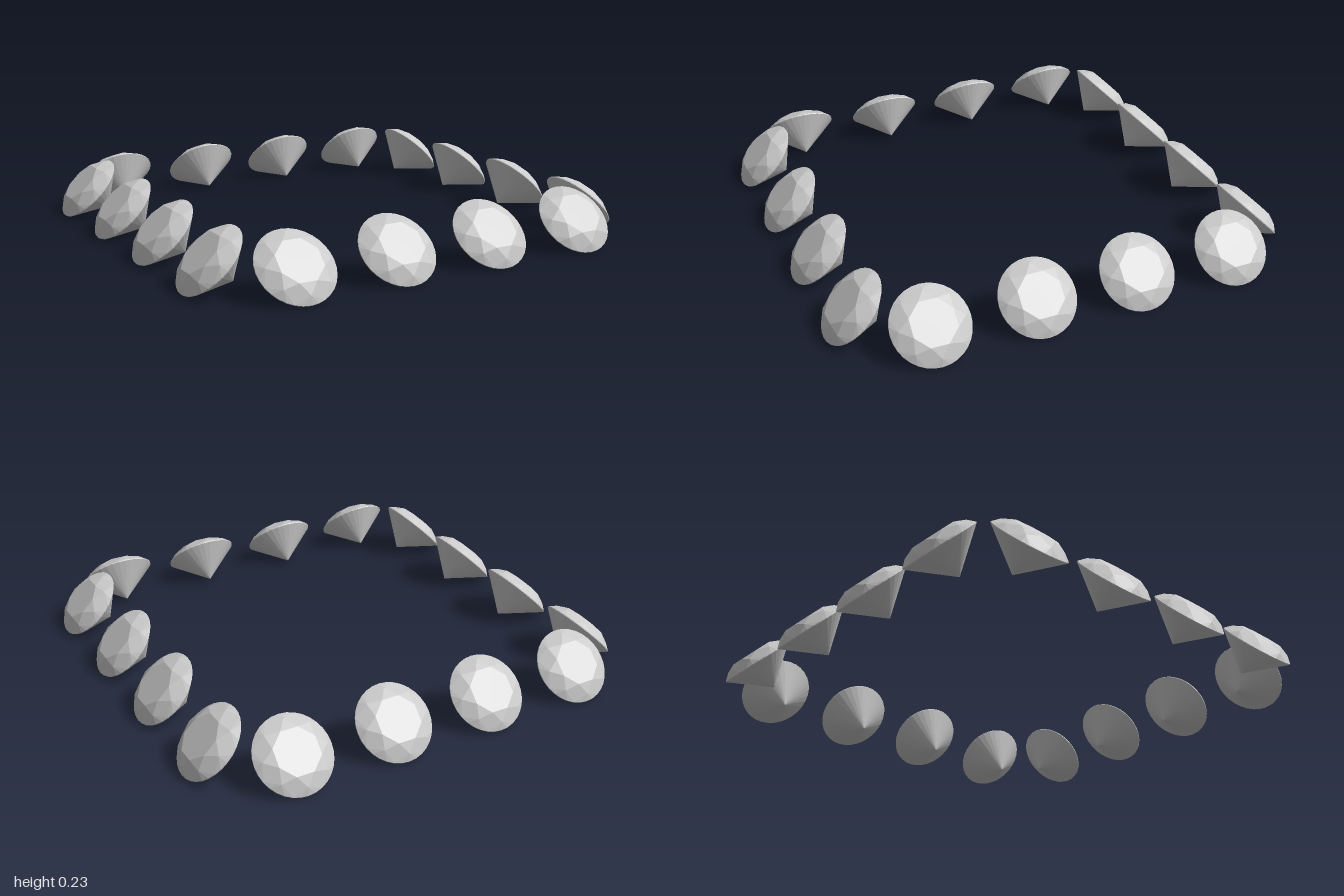
import * as THREE from 'three';

const R = 0.16;          // girdle radius
const TABLE = 0.095;     // table radius
const CROWN = 0.046;     // crown height
const DEPTH = 0.136;     // pavilion depth
const BAND = 0.002;      // half thickness of the girdle
const SUB = 4;           // girdle segments per eighth

// Brilliant-cut stone with its table facing +y and the girdle centre at the origin
function brilliantGeometry() {
  const pos = [];
  const tri = (...pts) => pts.forEach((p) => pos.push(p.x, p.y, p.z));
  const at = (eighth, r, y) => {
    const a = (eighth + 0.5) * Math.PI / 4;
    return new THREE.Vector3(Math.sin(a) * r, y, Math.cos(a) * r);
  };
  // ring between table and girdle, placed so the kite facets stay flat
  const midR = 0.133;
  const t = (R - midR * Math.cos(Math.PI / 8)) / (R - TABLE);
  const midY = BAND + (CROWN - BAND) * t;
  const top = new THREE.Vector3(0, CROWN, 0);
  const culet = new THREE.Vector3(0, -DEPTH, 0);

  for (let i = 0; i < 8; i++) {
    const t0 = at(i, TABLE, CROWN), t1 = at(i + 1, TABLE, CROWN);
    const prev = at(i - 0.5, midR, midY), mid = at(i + 0.5, midR, midY);
    const g0 = at(i, R, BAND), g1 = at(i + 1, R, BAND);
    tri(top, t0, t1);                     // table
    tri(t0, mid, t1);                     // star
    tri(t0, prev, g0);                    // kite
    tri(t0, g0, mid);
    for (let j = 0; j < SUB; j++) {
      const a = i + j / SUB, b = i + (j + 1) / SUB;
      const ua = j === 0 ? g0 : at(a, R, BAND);
      const ub = j === SUB - 1 ? g1 : at(b, R, BAND);
      const la = at(a, R, -BAND), lb = at(b, R, -BAND);
      tri(mid, ua, ub);                   // upper girdle facets
      tri(ua, la, lb);                    // girdle band
      tri(ua, lb, ub);
      tri(culet, lb, la);                 // pavilion
    }
  }
  const geo = new THREE.BufferGeometry();
  geo.setAttribute('position', new THREE.Float32BufferAttribute(pos, 3));
  geo.computeVertexNormals();
  return geo;
}

export function createModel() {
  const model = new THREE.Group();
  model.name = 'gemRing';
  const geo = brilliantGeometry();
  const mat = new THREE.MeshStandardMaterial({ color: 0xcccccc, flatShading: true });

  // Four rows of four stones, each leaning outwards by 45 degrees
  ['front', 'left', 'back', 'right'].forEach((side, s) => {
    const row = new THREE.Group();
    row.name = side + 'Row';
    for (let i = 0; i < 4; i++) {
      const gem = new THREE.Mesh(geo, mat);
      gem.name = side + 'Gem' + (i + 1);
      gem.position.set((i - 1.5) * 0.435, 0.117, 0.885);
      gem.rotation.x = Math.PI / 4;
      row.add(gem);
    }
    row.rotation.y = s * Math.PI / 2;
    model.add(row);
  });
  return model;
}
